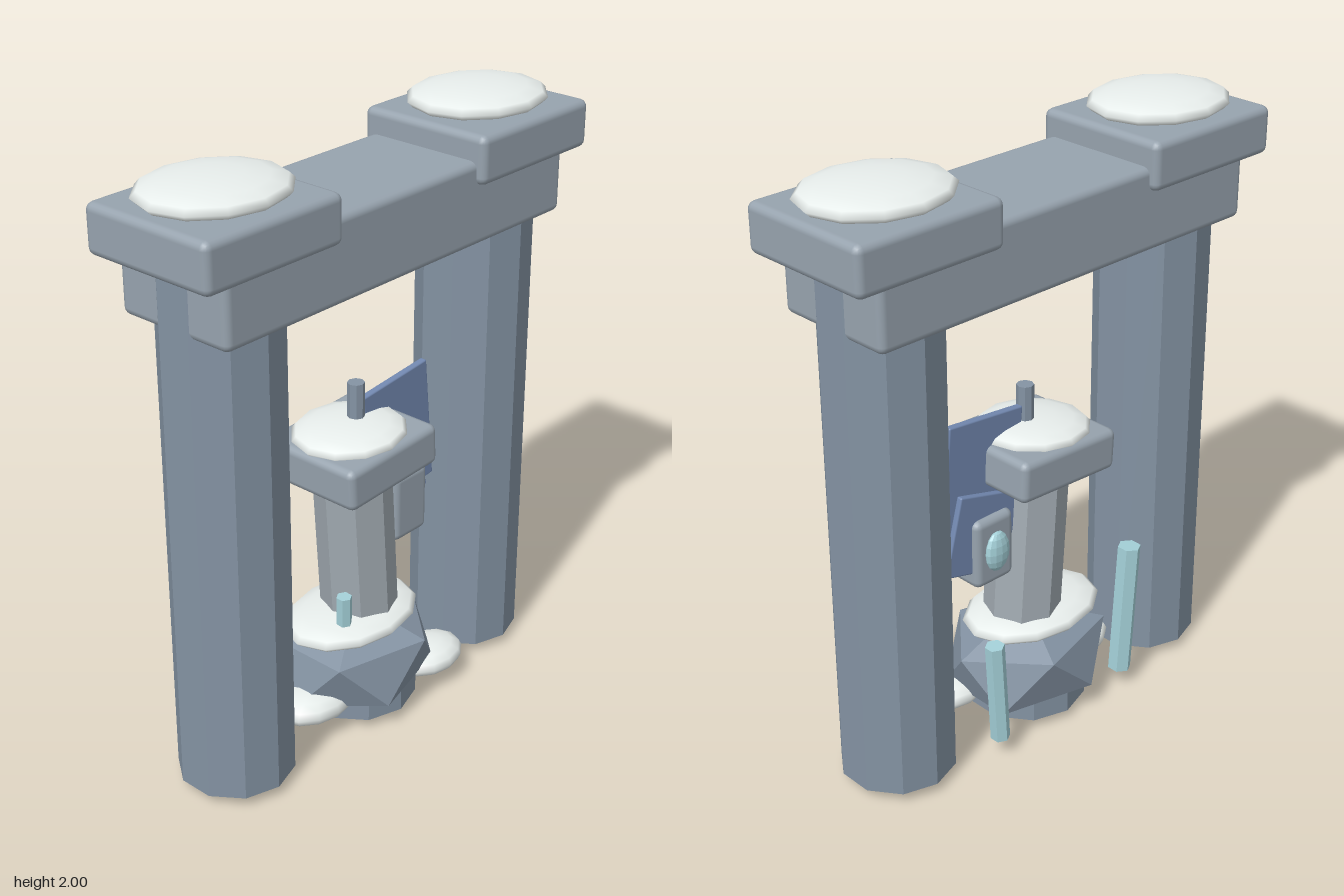
import * as THREE from 'three';
import { RoundedBoxGeometry } from 'three/addons/geometries/RoundedBoxGeometry.js';

const paint = (color, flatShading = false) => new THREE.MeshStandardMaterial({ color, flatShading });

export function createModel() {
  const model = new THREE.Group();
  const darkStone = paint(0x8493a3, true);
  const stone = paint(0x97a3ae);
  const paleStone = paint(0xa2abb2, true);
  const snow = paint(0xe8eeec);
  const crystal = paint(0xa4d0d8, true);
  const cloth = paint(0x7288b0);

  function add(name, geometry, material, position, tilt = 0, parent = model) {
    const mesh = new THREE.Mesh(geometry, material);
    mesh.name = name;
    mesh.position.set(...position);
    mesh.rotation.z = tilt;
    parent.add(mesh);
    return mesh;
  }
  const block = (name, size, position, material = stone, tilt = 0, bevel = 0.025) =>
    add(name, new RoundedBoxGeometry(...size, 2, bevel), material, position, tilt);

  // Squashed smooth sphere, used for snow caps and drifts
  const mound = (name, radii, position, tilt = 0, material = snow) =>
    add(name, new THREE.SphereGeometry(1, 12, 8).scale(...radii), material, position, tilt);

  // Faceted prism running between two points
  function prism(name, from, to, radius, sides, material, topRadius = radius) {
    const a = new THREE.Vector3(...from), b = new THREE.Vector3(...to);
    const axis = b.clone().sub(a);
    const mesh = add(name, new THREE.CylinderGeometry(topRadius, radius, axis.length(), sides),
      material, a.clone().add(b).multiplyScalar(0.5).toArray());
    mesh.quaternion.setFromUnitVectors(new THREE.Vector3(0, 1, 0), axis.normalize());
    return mesh;
  }

  // Gateway: two pillars, capstones with snow, and the lintel
  for (const side of [-1, 1]) {
    prism('pillar', [side * 0.565, 0.04, 0], [side * 0.565, 1.8, 0], 0.187, 10, darkStone);
    block('capstone', [0.525, 0.155, 0.475], [side * 0.567, 1.853, -0.003]);
    mound('capstoneSnow', [0.242, 0.045, 0.21], [side * 0.567, 1.955, -0.005]);
  }
  block('lintel', [1.48, 0.27, 0.42], [0, 1.715, -0.003]);

  // Upright icosahedral rock: two poles and two staggered rings of five
  function rockGeometry() {
    const points = [[0, -1, 0]];
    for (const [y, turn] of [[-0.447, Math.PI], [0.447, 0]]) {
      for (let i = 0; i < 5; i++) {
        const a = turn + i * Math.PI * 0.4;
        points.push([0.894 * Math.cos(a), y, -0.894 * Math.sin(a)]);
      }
    }
    points.push([0, 1, 0]);
    const faces = [];
    for (let i = 0; i < 5; i++) {
      const low = 1 + i, lowNext = 1 + (i + 1) % 5;
      const up = 6 + (i + 3) % 5, upPrev = 6 + (i + 2) % 5;
      faces.push(0, lowNext, low, 11, upPrev, up, low, lowNext, up, low, up, upPrev);
    }
    const geometry = new THREE.BufferGeometry();
    geometry.setAttribute('position', new THREE.Float32BufferAttribute(points.flat(), 3));
    geometry.setIndex(faces);
    const flat = geometry.toNonIndexed();
    flat.scale(0.322, 0.187, 0.262);
    flat.computeVertexNormals();
    return flat;
  }
  add('rock', rockGeometry(), darkStone, [0, 0.189, 0]);
  prism('rockFoot', [0, 0.035, 0], [0, 0.13, 0], 0.2, 10, darkStone);

  // Snow around the rock
  mound('rockSnow', [0.257, 0.045, 0.185], [-0.027, 0.345, 0]);
  mound('rightDrift', [0.155, 0.057, 0.11], [-0.225, 0.11, 0.02], -0.04);
  mound('leftDrift', [0.137, 0.052, 0.105], [0.24, 0.097, 0.11]);

  // Leaning broken column with its cap, snow and spike
  prism('brokenColumn', [0.018, 0.33, 0], [-0.022, 0.92, 0], 0.127, 8, paleStone);
  block('columnCap', [0.405, 0.14, 0.37], [-0.02, 0.943, 0], stone, 0.05);
  mound('columnSnow', [0.192, 0.04, 0.18], [-0.032, 1.016, 0], 0.04);
  prism('spike', [0, 1.0, 0], [0, 1.172, 0], 0.028, 8, darkStone);

  // Torn banner in two overlapping sheets
  block('banner', [0.306, 0.43, 0.025], [0.195, 0.91, 0], cloth, 0.1, 0.006);
  block('bannerTail', [0.26, 0.27, 0.022], [0.223, 0.745, -0.035], cloth, 0.26, 0.006);

  // Side box with a round lens on the back
  block('sideBox', [0.16, 0.24, 0.14], [0.195, 0.685, 0]);
  mound('lens', [0.048, 0.07, 0.025], [0.195, 0.685, -0.075], 0, crystal);

  // Crystal shards
  prism('crystalShard', [-0.27, 0.07, -0.18], [-0.297, 0.54, -0.185], 0.039, 6, crystal);
  prism('crystalShard', [-0.125, 0.2, 0.06], [-0.135, 0.483, 0.07], 0.026, 6, crystal);
  prism('crystalShard', [0.285, 0.07, -0.178], [0.308, 0.433, -0.18], 0.032, 6, crystal);

  return model;
}
